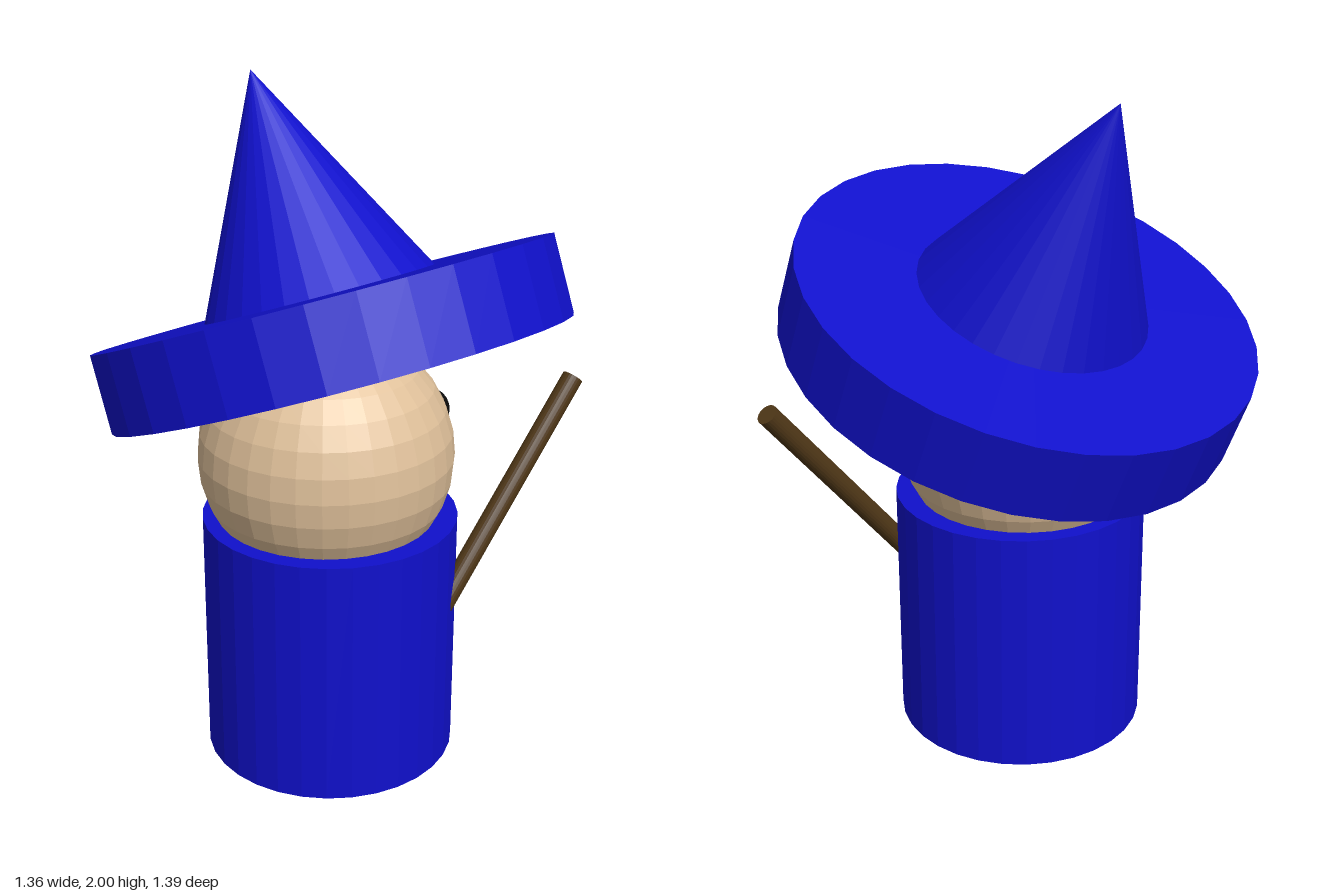
import * as THREE from 'three';

const paint = (color) => new THREE.MeshStandardMaterial({ color, flatShading: true });
const V = (x, y, z) => new THREE.Vector3(x, y, z);

export function createModel() {
  const model = new THREE.Group();
  const blue = paint(0x1010cc);
  const skin = paint(0xdfc09a);
  const black = paint(0x0a0a0a);
  const wood = paint(0x4f3717);

  const add = (name, geometry, material, position) => {
    const mesh = new THREE.Mesh(geometry, material);
    mesh.name = name;
    mesh.position.copy(position);
    model.add(mesh);
    return mesh;
  };

  // Cylinder or cone whose axis runs between two points
  const addBetween = (name, material, from, to, rTop, rBottom, sides) => {
    const axis = to.clone().sub(from);
    const mesh = add(name, new THREE.CylinderGeometry(rTop, rBottom, axis.length(), sides),
      material, from.clone().add(to).multiplyScalar(0.5));
    mesh.quaternion.setFromUnitVectors(V(0, 1, 0), axis.normalize());
    return mesh;
  };

  // Robe and head
  add('robe', new THREE.CylinderGeometry(0.38, 0.38, 0.76, 32), blue, V(0.035, 0.38, 0.06));
  add('head', new THREE.SphereGeometry(0.378, 32, 16), skin, V(0.025, 0.95, 0.065));

  // Eyes, on the -z side of the head
  for (const side of [-1, 1]) {
    add(side > 0 ? 'leftEye' : 'rightEye', new THREE.SphereGeometry(0.065, 24, 12), black,
      V(0.025 + side * 0.132, 1.0, -0.288));
  }

  // Tilted hat: thick brim and a cone leaning a little further
  const half = V(-0.364, 0.928, -0.075).normalize().multiplyScalar(0.117);
  const centre = V(0, 1.295, 0);
  addBetween('hatBrim', blue, centre.clone().sub(half), centre.clone().add(half), 0.687, 0.687, 32);
  const tip = V(-0.36, 2, -0.1);
  const cone = addBetween('hatCone', blue, V(-0.028, 1.32, -0.008), tip, 0, 0.385, 32);
  cone.geometry.computeVertexNormals();

  // Wooden wand, its lower end sunk into the robe
  addBetween('wand', wood, V(0.348, 0.42, 0.0), V(0.513, 1.105, -0.537), 0.032, 0.032, 24);

  return model;
}
